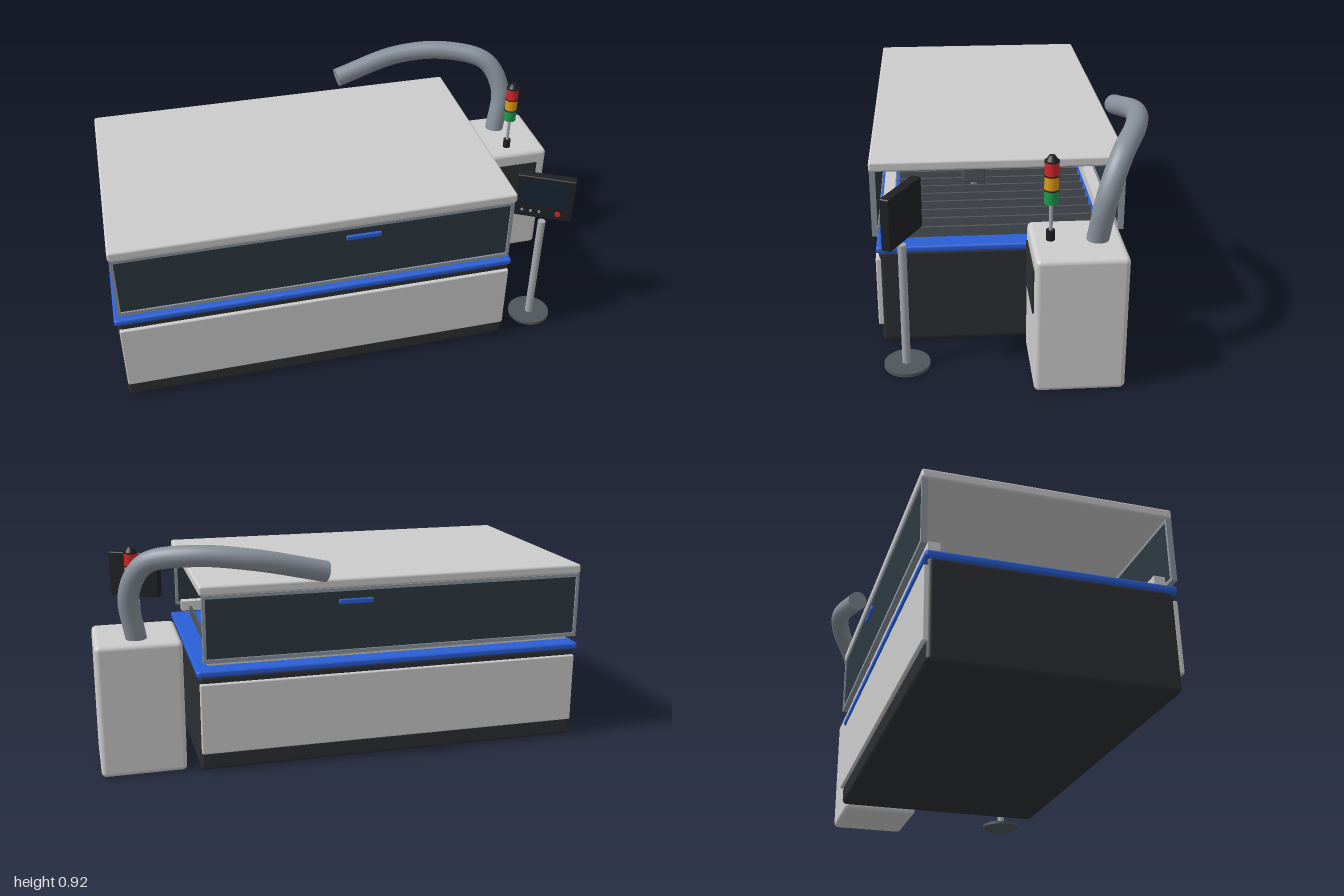
import * as THREE from 'three';
import { RoundedBoxGeometry } from 'three/addons/geometries/RoundedBoxGeometry.js';

const mat = (color) => new THREE.MeshStandardMaterial({ color });
const M = {
  light: mat(0xcccccc), dark: mat(0x2c2f33), black: mat(0x1e2024), blue: mat(0x2a5fd6),
  glass: mat(0x2c3841), frame: mat(0x8c949d), steel: mat(0xa4a8ae), slat: mat(0x50555b),
  hose: mat(0x87909a), screen: mat(0x14222f), red: mat(0xd02828), amber: mat(0xe09a14), green: mat(0x1f9a4d),
};

export function createModel() {
  const root = new THREE.Group();

  function add(name, geometry, material, x, y, z, parent = root) {
    const mesh = new THREE.Mesh(geometry, material);
    mesh.name = name;
    mesh.position.set(x, y, z);
    parent.add(mesh);
    return mesh;
  }
  // Box given by its extents; r rounds the edges
  function box(name, material, [x0, x1], [y0, y1], [z0, z1], r = 0, parent = root) {
    const s = [x1 - x0, y1 - y0, z1 - z0];
    const g = r ? new RoundedBoxGeometry(...s, 3, r) : new THREE.BoxGeometry(...s);
    return add(name, g, material, (x0 + x1) / 2, (y0 + y1) / 2, (z0 + z1) / 2, parent);
  }
  // Upright cylinder from y0 to y1
  function post(name, material, x, z, y0, y1, r, rTop = r) {
    return add(name, new THREE.CylinderGeometry(rTop, r, y1 - y0, 32), material, x, (y0 + y1) / 2, z);
  }

  // Machine bed and cutting table
  const midZ = 0.05;
  box('base', M.dark, [-0.99, 0.61], [0, 0.4], [-0.41, 0.51], 0.02);
  box('tableTrim', M.blue, [-1, 0.615], [0.39, 0.418], [-0.42, 0.52], 0.01);
  for (let i = 0; i < 19; i++) {
    const x = -0.91 + i * 0.08;
    box('slat', M.slat, [x - 0.005, x + 0.005], [0.41, 0.459], [-0.34, 0.44]);
  }

  // Roof
  box('roof', M.light, [-0.985, 0.6], [0.72, 0.76], [-0.435, 0.535], 0.01);

  // Cladding, framed window, handle and rail, mirrored front to back
  for (const s of [1, -1]) {
    const zr = (a, b) => [midZ + s * a, midZ + s * b].sort((p, q) => p - q);
    box('sidePanel', M.light, [-0.985, 0.605], [0.075, 0.365], zr(0.45, 0.474), 0.006);
    box('rail', M.light, [-0.95, 0.57], [0.435, 0.48], zr(0.405, 0.45));

    const rect = (P, x0, x1, y0, y1) => new P()
      .moveTo(x0, y0).lineTo(x1, y0).lineTo(x1, y1).lineTo(x0, y1).closePath();
    const outline = rect(THREE.Shape, -0.98, 0.59, 0.453, 0.721);
    outline.holes.push(rect(THREE.Path, -0.967, 0.577, 0.468, 0.708));
    const frame = new THREE.ExtrudeGeometry(outline, { depth: 0.022, bevelEnabled: false });
    add('windowFrame', frame, M.frame, 0, 0, zr(0.461, 0.483)[0]);
    box('windowPane', M.glass, [-0.97, 0.58], [0.465, 0.711], zr(0.464, 0.476));
    box('windowHandle', M.blue, [-0.09, 0.05], [0.655, 0.676], zr(0.473, 0.486), 0.005);
  }

  // Gantry and cutting head
  box('gantryBeam', M.light, [-0.08, 0.03], [0.5, 0.65], [-0.41, 0.51], 0.008);
  box('gantryCap', M.blue, [-0.085, 0.035], [0.65, 0.675], [-0.41, 0.51]);
  box('cuttingHead', M.slat, [0.03, 0.11], [0.46, 0.62], [0.075, 0.17], 0.008);
  post('nozzle', M.steel, 0.07, 0.122, 0.422, 0.46, 0.006, 0.02);

  // Control cabinet
  box('cabinet', M.light, [0.66, 0.995], [0, 0.535], [-0.385, -0.05], 0.02);
  box('cabinetScreen', M.dark, [0.705, 0.95], [0.305, 0.475], [-0.055, -0.044]);

  // Signal tower
  const [tx, tz] = [0.826, -0.12];
  post('towerSocket', M.black, tx, tz, 0.53, 0.575, 0.016);
  post('towerPole', M.steel, tx, tz, 0.57, 0.685, 0.007);
  [M.green, M.amber, M.red].forEach((m, i) => {
    const y = 0.68 + i * 0.054;
    post('signalLamp', m, tx, tz, y, y + 0.051, 0.026);
    post('lampRing', M.black, tx, tz, y + 0.05, y + 0.055, 0.0275);
  });
  post('towerCap', M.black, tx, tz, 0.842, 0.862, 0.024, 0.011);

  // Exhaust hose
  const path = new THREE.CatmullRomCurve3([
    [0.83, 0.53, -0.29], [0.852, 0.72, -0.32], [0.79, 0.845, -0.375],
    [0.62, 0.882, -0.452], [0.4, 0.865, -0.495], [0.11, 0.798, -0.465],
  ].map((p) => new THREE.Vector3(...p)));
  add('exhaustHose', new THREE.TubeGeometry(path, 80, 0.041, 24), M.hose, 0, 0, 0);
  for (const [t, dir] of [[0, -1], [1, 1]]) {
    const cap = add('hoseEnd', new THREE.CircleGeometry(0.041, 24), M.hose, 0, 0, 0);
    cap.position.copy(path.getPointAt(t));
    cap.lookAt(cap.position.clone().addScaledVector(path.getTangentAt(t), dir));
  }

  // Operator console: stand and turned monitor
  post('standFoot', M.slat, 0.778, 0.412, 0, 0.013, 0.088);
  post('standPole', M.steel, 0.778, 0.415, 0.01, 0.51, 0.016);
  const console_ = new THREE.Group();
  console_.name = 'monitor';
  console_.position.set(0.778, 0.635, 0.412);
  console_.rotation.y = -0.49;
  root.add(console_);
  box('monitorBody', M.black, [-0.118, 0.118], [-0.1, 0.1], [-0.02, 0.02], 0.006, console_);
  box('monitorScreen', M.screen, [-0.1, 0.095], [-0.035, 0.08], [0.018, 0.022], 0, console_);
  [-0.085, -0.05, -0.015, 0.06].forEach((x, i) => {
    const r = i === 3 ? 0.012 : 0.006;
    const button = add('button', new THREE.CylinderGeometry(r, r, 0.008, 16),
      i === 3 ? M.red : M.frame, x, -0.066, 0.021, console_);
    button.rotation.x = Math.PI / 2;
  });

  return root;
}
